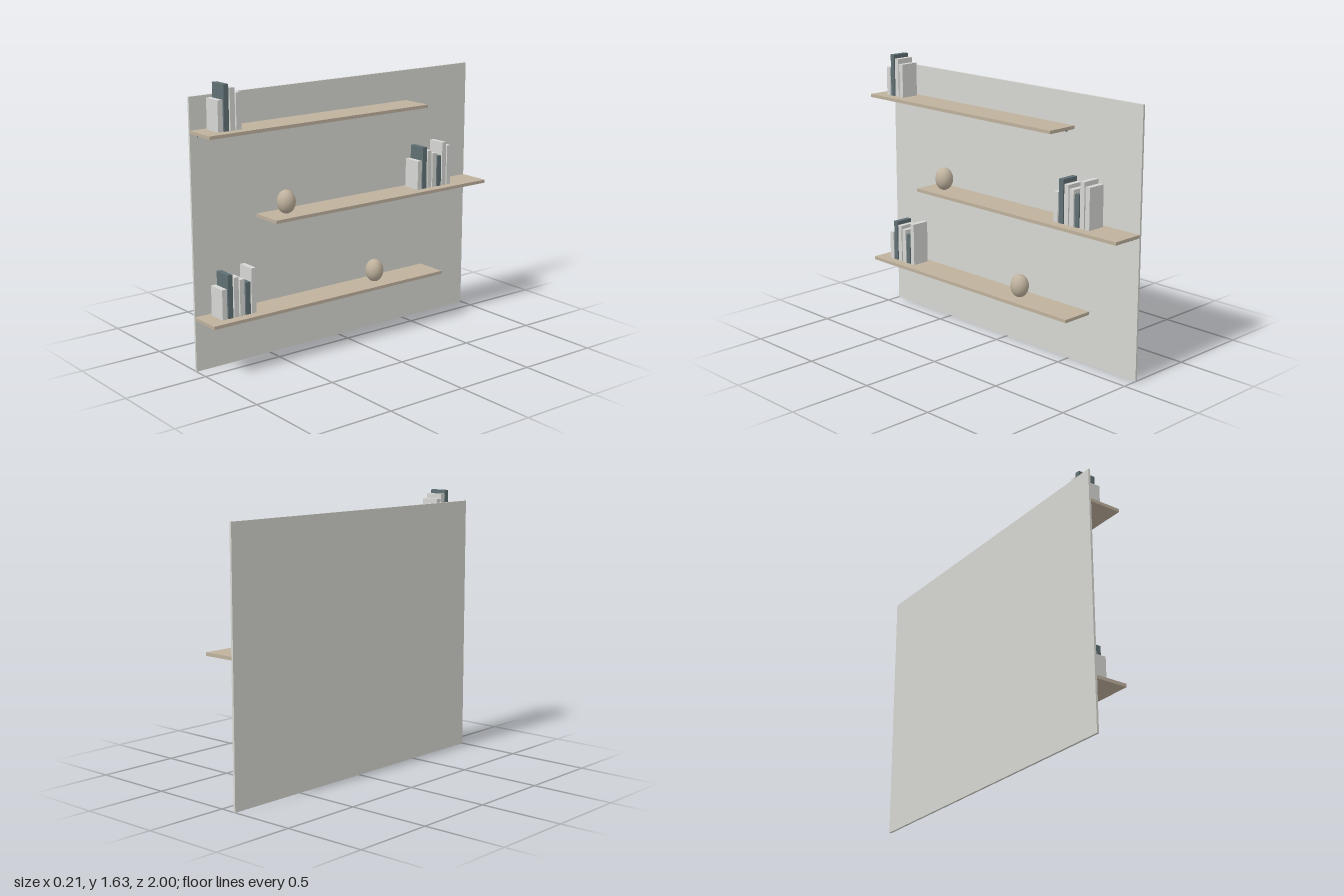
import * as THREE from 'three';

const mat = (name, color) => {
  const m = new THREE.MeshStandardMaterial({ color });
  m.name = name;
  return m;
};

export function createModel() {
  const panelGrey = mat('panelGrey', 0xd6d6d1);
  const wood = mat('wood', 0xbeb19d);
  const paleCover = mat('paleCover', 0xd6d7d4);
  const slateCover = mat('slateCover', 0x607074);
  const stripDark = mat('stripDark', 0x3a3a38);
  const model = new THREE.Group();
  model.name = 'wallShelves';

  // Box given by its minimum and maximum corners
  const box = (parent, name, material, [x0, y0, z0], [x1, y1, z1]) => {
    const mesh = new THREE.Mesh(new THREE.BoxGeometry(x1 - x0, y1 - y0, z1 - z0), material);
    mesh.position.set((x0 + x1) / 2, (y0 + y1) / 2, (z0 + z1) / 2);
    mesh.name = name;
    parent.add(mesh);
  };

  // Wall panel
  box(model, 'backPanel', panelGrey, [-0.105, 0, -1], [-0.092, 1.555, 1]);

  // Each shelf: top height, z range, first book edge, book heights, ornament position
  const shelves = [
    { name: 'lowerShelf', y: 0.321, z: [-0.652, 1], books: 0.909,
      heights: [0.174, 0.251, 0.23, 0.211, 0.187, 0.262], dark: [1, 4], egg: -0.198 },
    { name: 'middleShelf', y: 0.846, z: [-1, 0.58], books: -0.498,
      heights: [0.175, 0.254, 0.229, 0.209, 0.187, 0.266, 0.242], dark: [1, 4], egg: 0.443 },
    { name: 'upperShelf', y: 1.372, z: [-0.519, 1], books: 0.909,
      heights: [0.173, 0.254, 0.232, 0.203], dark: [1] },
  ];

  for (const s of shelves) {
    const group = new THREE.Group();
    group.name = s.name;
    model.add(group);
    const [z0, z1] = s.z;
    box(group, 'board', wood, [-0.092, s.y - 0.019, z0], [0.104, s.y, z1]);

    // Thin strip just beneath the board
    box(group, 'underStrip', stripDark, [-0.073, s.y - 0.036, z0 + 0.034], [-0.068, s.y - 0.031, z1 - 0.034]);

    // Row of upright books
    s.heights.forEach((h, i) => {
      const front = s.books - i * 0.0388;
      box(group, 'book', s.dark.includes(i) ? slateCover : paleCover,
        [-0.065, s.y, front - 0.031], [0.047, s.y + h, front]);
    });

    // Egg-shaped ornament
    if (s.egg !== undefined) {
      const egg = new THREE.Mesh(new THREE.SphereGeometry(0.054, 32, 20), wood);
      egg.scale.y = 1.27;
      egg.position.set(0.006, s.y + 0.0686, s.egg);
      egg.name = 'ornament';
      group.add(egg);
    }
  }
  return model;
}
